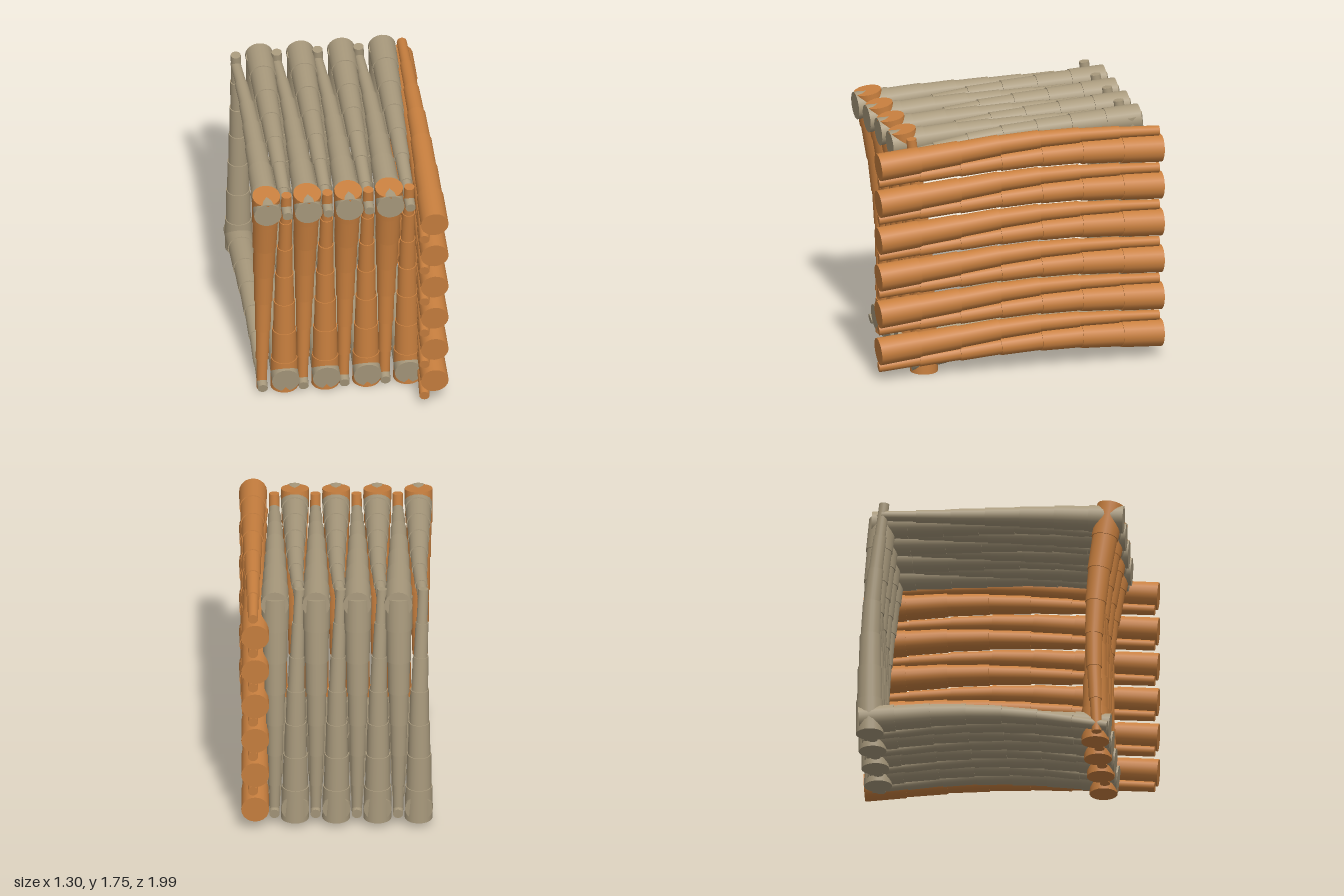
import * as THREE from 'three';
import { mergeGeometries } from 'three/addons/utils/BufferGeometryUtils.js';

const V = (x, y, z) => new THREE.Vector3(x, y, z);
const orange = new THREE.MeshStandardMaterial({ color: 0xc9803f });
const tan = new THREE.MeshStandardMaterial({ color: 0xa99a7d });
const SEGMENTS = 7, THICK = 0.094, THIN = 0.028;

// A bent log of stepped, tapering sections, running from its thick end to its thin end
function makeLog(points, material, name) {
  const curve = new THREE.CatmullRomCurve3(points);
  const radius = t => THREE.MathUtils.lerp(THICK, THIN, t);
  const parts = [];
  for (let i = 0; i < SEGMENTS; i++) {
    const t0 = i / SEGMENTS, t1 = (i + 1) / SEGMENTS;
    const a = curve.getPointAt(t0), b = curve.getPointAt(t1);
    const dir = b.clone().sub(a), length = dir.length();
    dir.normalize();
    if (i > 0) a.addScaledVector(dir, -0.012);
    const g = new THREE.CylinderGeometry(radius(t1) + 0.006, radius(t0), a.distanceTo(b), 20);
    g.applyQuaternion(new THREE.Quaternion().setFromUnitVectors(V(0, 1, 0), dir));
    const mid = a.clone().add(b).multiplyScalar(0.5);
    g.translate(mid.x, mid.y, mid.z);
    parts.push(g);
  }
  const mesh = new THREE.Mesh(mergeGeometries(parts), material);
  mesh.name = name;
  return mesh;
}

// A row of logs laid head to tail: two paths repeated at a fixed spacing
function makeWall(name, material, count, step, pathA, pathB) {
  const wall = new THREE.Group();
  wall.name = name;
  for (let i = 0; i < count; i++) {
    for (const path of [pathA, pathB]) {
      const points = path.map(p => V(...p).addScaledVector(step, i));
      wall.add(makeLog(points, material, name + 'Log'));
    }
  }
  return wall;
}

export function createModel() {
  const model = new THREE.Group();
  model.name = 'logCage';
  const across = V(0.277, 0, 0);

  // Upright front wall, leaning in and bowed inward
  model.add(makeWall('frontWall', orange, 4, across,
    [[-0.555, 1.685, 0.745], [-0.558, 1.2, 0.665], [-0.562, 0.7, 0.63], [-0.575, 0.01, 0.65]],
    [[-0.42, 0.005, 0.63], [-0.42, 0.5, 0.63], [-0.42, 1.0, 0.645], [-0.415, 1.66, 0.72]]));

  // Upright back wall
  model.add(makeWall('backWall', tan, 4, across,
    [[-0.42, 1.69, -0.80], [-0.42, 1.2, -0.85], [-0.42, 0.7, -0.875], [-0.415, 0.07, -0.87]],
    [[-0.553, 0.05, -0.88], [-0.557, 0.5, -0.88], [-0.56, 1.0, -0.865], [-0.585, 1.735, -0.78]]));

  // Roof
  model.add(makeWall('roof', tan, 4, across,
    [[-0.553, 1.585, 0.83], [-0.555, 1.62, 0.3], [-0.56, 1.64, -0.3], [-0.585, 1.65, -0.8]],
    [[-0.418, 1.66, -0.87], [-0.42, 1.645, -0.35], [-0.42, 1.62, 0.2], [-0.415, 1.54, 0.8]]));

  // Floor
  model.add(makeWall('floor', tan, 4, across,
    [[-0.555, 0.15, -0.95], [-0.557, 0.175, -0.4], [-0.56, 0.155, 0.1], [-0.575, 0.05, 0.72]],
    [[-0.42, 0.11, 0.73], [-0.42, 0.16, 0.25], [-0.42, 0.165, -0.25], [-0.415, 0.1, -0.93]]));

  // Side wall of horizontal logs, bowed upward in the middle
  model.add(makeWall('sideWall', orange, 6, V(0, 0.262, 0),
    [[0.557, 0.22, 0.99], [0.56, 0.265, 0.5], [0.562, 0.31, 0], [0.56, 0.315, -0.5], [0.56, 0.295, -0.97]],
    [[0.545, 0.165, -0.99], [0.545, 0.19, -0.4], [0.54, 0.18, 0], [0.52, 0.135, 0.5], [0.49, 0.085, 0.97]]));

  return model;
}
